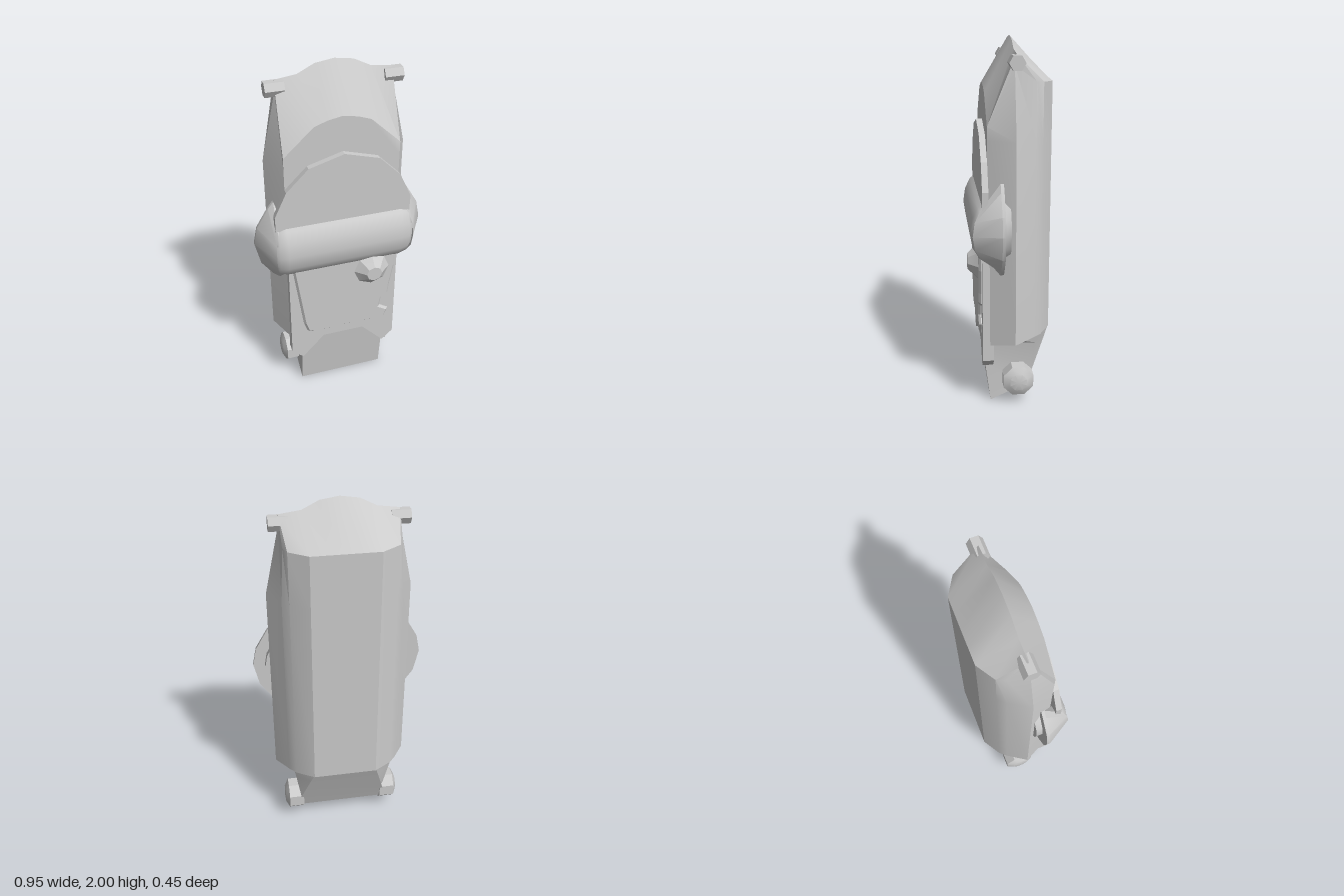
import * as THREE from 'three';
import { toCreasedNormals } from 'three/addons/utils/BufferGeometryUtils.js';

const material = new THREE.MeshStandardMaterial({ color: 0xcccccc });
const thin = new THREE.MeshStandardMaterial({ color: 0xcccccc, side: THREE.DoubleSide });

// Skin consecutive rows of [x, y, z] points; closed rows can be capped
function loft(rows, { closed = true, capStart = false, capEnd = false, crease = 0.5 } = {}) {
  const pos = [];
  const v = (p) => new THREE.Vector3(...p);
  const tri = (a, b, c) => {
    const n = v(b).sub(v(a)).cross(v(c).sub(v(a)));
    if (n.length() > 1e-7) pos.push(...a, ...b, ...c);
  };
  const count = rows[0].length;
  for (let r = 0; r < rows.length - 1; r++) {
    for (let i = 0; i < (closed ? count : count - 1); i++) {
      const j = (i + 1) % count;
      const a = rows[r][i], b = rows[r][j], c = rows[r + 1][j], d = rows[r + 1][i];
      tri(a, d, c);
      tri(a, c, b);
    }
  }
  const cap = (row, flip) => {
    const mid = [0, 1, 2].map((k) => row.reduce((s, p) => s + p[k], 0) / count);
    row.forEach((p, i) => {
      const q = row[(i + 1) % count];
      if (flip) tri(mid, q, p);
      else tri(mid, p, q);
    });
  };
  if (capStart) cap(rows[0], false);
  if (capEnd) cap(rows[rows.length - 1], true);
  const geometry = new THREE.BufferGeometry();
  geometry.setAttribute('position', new THREE.Float32BufferAttribute(pos, 3));
  return toCreasedNormals(geometry, crease);
}

// Half a ring, from the back centre round the left to the front centre, made whole
const mirrorRing = (half) => [
  ...half, ...half.slice(1, -1).reverse().map(([x, y, z]) => [-x, y, z]),
];

function plate(points, z0, z1, bevel = 0) {
  const shape = new THREE.Shape(points.map(([x, y]) => new THREE.Vector2(x, y)));
  const geometry = new THREE.ExtrudeGeometry(shape, {
    depth: z1 - z0 - bevel, bevelEnabled: bevel > 0, bevelThickness: bevel,
    bevelSize: bevel, bevelOffset: -bevel, bevelSegments: 1,
  });
  return geometry.translate(0, 0, z0);
}

// Outline given for the left half, from top to bottom
const mirrorOutline = (half) => [
  ...half, ...half.slice().reverse().filter(([x]) => x > 0).map(([x, y]) => [-x, y]),
].reverse();

export function createModel() {
  const group = new THREE.Group();
  const add = (name, geometry, mat = material) => {
    const mesh = new THREE.Mesh(geometry, mat);
    mesh.name = name;
    group.add(mesh);
    return mesh;
  };

  // Main shell: columns of [x, z, bottom y, top x, top y, ridge x, ridge y]
  const columns = [
    [0, -0.225, 0.41, 0, 1.78, 0, 2],
    [0.09, -0.225, 0.41, 0.09, 1.78, 0.1, 1.985],
    [0.18, -0.225, 0.41, 0.18, 1.78, 0.19, 1.94],
    [0.28, -0.165, 0.41, 0.28, 1.785, 0.305, 1.925],
    [0.315, -0.125, 0.41, 0.3, 1.79, 0.305, 1.925],
    [0.385, -0.015, 0.40, 0.305, 1.87, 0.305, 1.925],
    [0.31, 0.125, 0.37, 0.31, 1.57, 0.305, 1.925],
    [0.15, 0.125, 0.37, 0.15, 1.72, 0.19, 1.94],
    [0.08, 0.125, 0.37, 0.08, 1.745, 0.1, 1.985],
    [0, 0.125, 0.37, 0, 1.76, 0, 2],
  ];
  add('bodyShell', loft([
    mirrorRing(columns.map(([x, z, y]) => [x, y, z])),
    mirrorRing(columns.map(([x, z]) => [x, 1.5, z])),
    mirrorRing(columns.map(([, z, , x, y]) => [x, y, z])),
    mirrorRing(columns.map(([, , , , , x, y]) => [x, y, -0.022])),
  ], { capStart: true }));

  // Tapered foot with a sloping underside
  add('foot', loft([
    [[0, 0.09, -0.09], [0.25, 0.09, -0.09], [0.25, 0.08, -0.07], [0.25, 0, 0.11], [0, 0, 0.11]],
    [[0, 0.18, -0.125], [0.25, 0.18, -0.125], [0.25, 0.18, -0.1], [0.25, 0.22, 0.1375], [0, 0.22, 0.1375]],
    [[0, 0.36, -0.2], [0.2, 0.36, -0.2], [0.28, 0.36, -0.135], [0.26, 0.36, 0.155], [0, 0.36, 0.155]],
    [[0, 0.42, -0.225], [0.18, 0.42, -0.225], [0.29, 0.42, -0.15], [0.3, 0.42, 0.12], [0, 0.42, 0.12]],
  ].map(mirrorRing), { capStart: true, capEnd: true, crease: 0.3 }));

  // Flat plates on the front
  add('lowerFrontPlate', plate(mirrorOutline([
    [0.315, 0.95], [0.315, 0.28], [0.25, 0.22], [0.12, 0.36],
  ]), 0.095, 0.155));
  add('archedPlate', plate(mirrorOutline([
    [0, 1.565], [0.19, 1.51], [0.31, 1.39], [0.375, 1.25], [0.37, 1.0],
  ]), 0.125, 0.157));
  add('notchedPanel', plate([
    [-0.295, 0.9], [-0.24, 0.49], [-0.22, 0.43], [-0.19, 0.415], [0.25, 0.42], [0.275, 0.48],
    [0.22, 0.515], [0.23, 0.575], [0.27, 0.6], [0.275, 0.66], [0.3, 0.8], [0.3, 0.9],
  ], 0.14, 0.172, 0.012));

  // Rounded crossbar, shrinking at its ends
  const profile = [
    [0.86, 0.13], [0.88, 0.17], [0.94, 0.205], [1.02, 0.217],
    [1.1, 0.205], [1.16, 0.175], [1.19, 0.13],
  ];
  const section = (x, s) => profile.map(([y, z]) => [x, 1.02 + (y - 1.02) * s, 0.1 + (z - 0.1) * s]);
  add('crossbar', loft(
    [[-0.385, 0.76], [-0.365, 0.92], [-0.32, 1], [0.32, 1], [0.365, 0.92], [0.385, 0.76]]
      .map(([x, s]) => section(x, s)),
    { capStart: true, capEnd: true, crease: 0.8 },
  ));

  // Flared side cups behind the crossbar ends
  const rim = [
    [0.32, 0.77], [0.38, 0.82], [0.445, 0.91], [0.475, 1.04], [0.455, 1.14], [0.39, 1.25], [0.36, 1.29],
  ];
  const lipX = [0.32, 0.365, 0.38, 0.385, 0.38, 0.365, 0.32];
  const inner = rim.map(([x, y]) => [0.3 + (x - 0.3) * 0.63, 1.04 + (y - 1.04) * 0.7]);
  const at = (points, z) => points.map(([x, y]) => [x, y, z]);
  for (const side of [1, -1]) {
    const rows = [
      section(0, 0.92).map(([, y, z], i) => [lipX[i], y, z]),
      at(rim, 0.062), at(rim, 0.045), at(inner, 0.045), at(inner, 0.01),
      inner.map(([, y]) => [0.3, y, 0.01]),
    ].map((row) => row.map(([x, y, z]) => [side * x, y, z]));
    add(side > 0 ? 'leftCup' : 'rightCup', loft(rows, { closed: false, crease: 0.6 }), thin);

    // Peg at the crown and bolt at the foot
    const peg = add('crownPeg', toCreasedNormals(new THREE.CylinderGeometry(0.042, 0.042, 0.1, 6), 0.4));
    peg.rotation.z = Math.PI / 2;
    peg.position.set(side * 0.308, 1.882, -0.023);

    const bolt = add('footBolt', toCreasedNormals(new THREE.LatheGeometry([
      [0, -0.05], [0.09, -0.05], [0.09, 0.035], [0.05, 0.055], [0, 0.06],
    ].map(([r, h]) => new THREE.Vector2(r, h)), 8, Math.PI / 8), 0.4));
    bolt.rotation.z = -side * Math.PI / 2;
    bolt.position.set(side * 0.285, 0.148, -0.04);
  }

  // Faceted knob on the notched panel
  const knob = add('knob', toCreasedNormals(new THREE.LatheGeometry([
    [0.112, 0], [0.105, 0.02], [0.075, 0.045], [0.045, 0.075], [0, 0.075],
  ].map(([r, h]) => new THREE.Vector2(r, h)), 8), 0.5));
  knob.rotation.x = Math.PI / 2;
  knob.position.set(0.16, 0.81, 0.15);

  return group;
}
